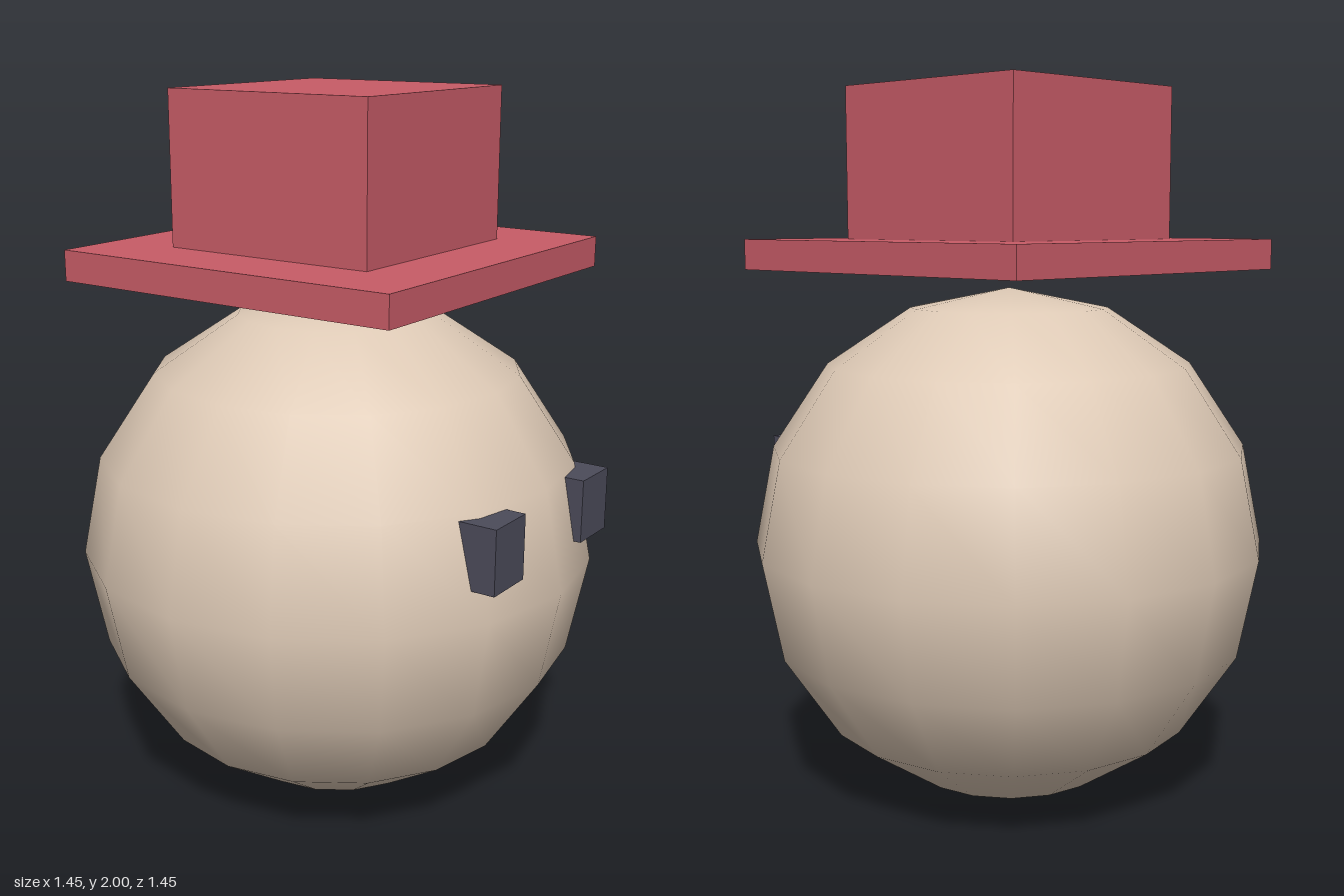
import * as THREE from 'three';

export function createModel() {
  const model = new THREE.Group();
  model.name = 'hattedHead';

  const material = (name, color) => {
    const m = new THREE.MeshStandardMaterial({ color });
    m.name = name;
    return m;
  };
  const skin = material('skin', 0xdecab6);
  const hatRed = material('hatRed', 0xc85c67);
  const eyeDark = material('eyeDark', 0x4c4b5a);

  const add = (parent, name, geometry, mat, x, y, z) => {
    const mesh = new THREE.Mesh(geometry, mat);
    mesh.name = name;
    mesh.position.set(x, y, z);
    parent.add(mesh);
    return mesh;
  };

  // Round head: coarse outline, smooth shading
  add(model, 'head', new THREE.SphereGeometry(0.724, 16, 8), skin, 0, 0.726, 0);

  // Block eyes set into the face
  const eyeGeometry = new THREE.BoxGeometry(0.146, 0.176, 0.146);
  for (const [name, side] of [['leftEye', 1], ['rightEye', -1]]) {
    add(model, name, eyeGeometry, eyeDark, side * 0.232, 0.903, 0.622);
  }

  // Square hat hovering just above the head
  const hat = new THREE.Group();
  hat.name = 'hat';
  model.add(hat);
  add(hat, 'hatBrim', new THREE.BoxGeometry(1.04, 0.084, 1.04), hatRed, 0, 1.542, 0);
  add(hat, 'hatCrown', new THREE.BoxGeometry(0.634, 0.416, 0.634), hatRed, 0, 1.792, 0);

  return model;
}
